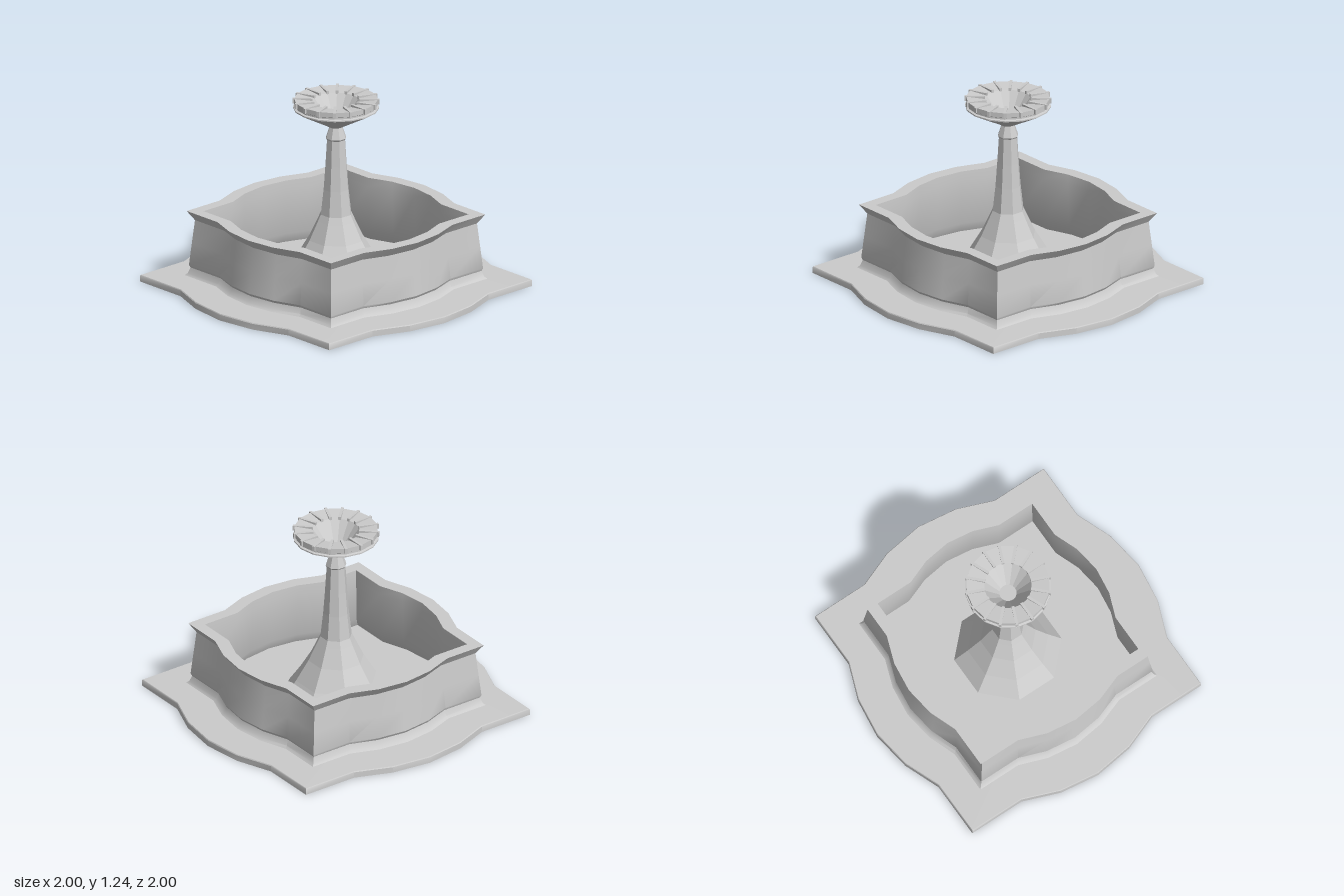
import * as THREE from 'three';
import { toCreasedNormals } from 'three/addons/utils/BufferGeometryUtils.js';

const smooth = new THREE.MeshStandardMaterial({ color: 0xcccccc, side: THREE.DoubleSide });
const faceted = new THREE.MeshStandardMaterial({ color: 0xcccccc, flatShading: true, side: THREE.DoubleSide });

// Square outline with a bowed bulge on each side: corner at c, bulge out to b
function outline(c, b, y) {
  const q = c + 0.72 * (b - c);
  const side = [[-c, c], [-0.572 * c, c], [-0.3 * c, q], [0, b], [0.3 * c, q], [0.572 * c, c]];
  const ring = [];
  for (let k = 0; k < 4; k++) {
    for (const [px, pz] of side) {
      let x = px, z = pz;
      for (let r = 0; r < k; r++) [x, z] = [z, -x];
      ring.push([x, y, z]);
    }
  }
  return ring;
}

// Skin a stack of [corner, bulge, height] outlines; a zero-size outline closes the stack
function loft(sections) {
  const rings = sections.map((s) => outline(...s));
  const pos = [];
  for (let i = 0; i + 1 < rings.length; i++) {
    const lo = rings[i], hi = rings[i + 1];
    for (let j = 0; j < lo.length; j++) {
      const n = (j + 1) % lo.length;
      pos.push(...lo[j], ...lo[n], ...hi[n]);
      if (sections[i + 1][0] > 0) pos.push(...lo[j], ...hi[n], ...hi[j]);
    }
  }
  const g = new THREE.BufferGeometry();
  g.setAttribute('position', new THREE.Float32BufferAttribute(pos, 3));
  return toCreasedNormals(g, 0.6);
}

function lathe(profile, sides, phase = 0) {
  return new THREE.LatheGeometry(profile.map(([r, y]) => new THREE.Vector2(r, y)), sides, phase);
}

export function createModel() {
  const model = new THREE.Group();
  model.name = 'fountain';
  const add = (name, geometry, material, parent = model) => {
    const mesh = new THREE.Mesh(geometry, material);
    mesh.name = name;
    parent.add(mesh);
    return mesh;
  };

  // Ground slab, a shell open underneath
  add('basePlate', loft([
    [0.873, 1, 0], [0.873, 1, 0.038], [0.869, 0.996, 0.044], [0.625, 0.71, 0.047],
  ]), smooth);

  // Basin: moulded foot, leaning wall, flared rim, inner wall with splayed foot, floor
  add('basin', loft([
    [0.675, 0.768, 0.046], [0.66, 0.75, 0.06], [0.648, 0.735, 0.098], [0.655, 0.745, 0.115],
    [0.642, 0.728, 0.26], [0.628, 0.711, 0.415], [0.665, 0.757, 0.475], [0.59, 0.675, 0.475],
    [0.588, 0.673, 0.415], [0.6, 0.685, 0.115], [0.63, 0.715, 0.05], [0, 0, 0.05],
  ]), smooth);

  // Eight-sided column with splayed base and narrow neck
  const k = 1 / Math.cos(Math.PI / 8);
  add('column', lathe([
    [0.32, 0.05], [0.24, 0.175], [0.165, 0.31], [0.113, 0.43], [0.094, 0.475], [0.077, 0.64],
    [0.066, 0.8], [0.056, 0.97], [0.062, 0.98], [0.04, 1.05], [0.04, 1.06],
  ].map(([r, y]) => [r * k, y]), 8, Math.PI / 8), faceted);

  // Upper bowl with a groove below the rim and a conical hollow
  const bowl = new THREE.Group();
  bowl.name = 'upperBowl';
  model.add(bowl);
  const count = 16;
  add('bowlShell', lathe([
    [0, 1.055], [0.045, 1.055], [0.272, 1.178], [0.272, 1.186], [0.257, 1.19],
    [0.257, 1.2], [0.265, 1.205], [0.265, 1.236], [0.152, 1.224], [0.055, 1.09], [0, 1.09],
  ], count), faceted);

  // Ribs across the rim
  for (let i = 0; i < count; i++) {
    const spoke = new THREE.Group();
    spoke.name = 'bowlRib';
    spoke.rotation.y = (i / count) * Math.PI * 2;
    bowl.add(spoke);
    add('rimRib', new THREE.BoxGeometry(0.018, 0.034, 0.128), faceted, spoke).position.set(0, 1.222, 0.211);
  }
  return model;
}
